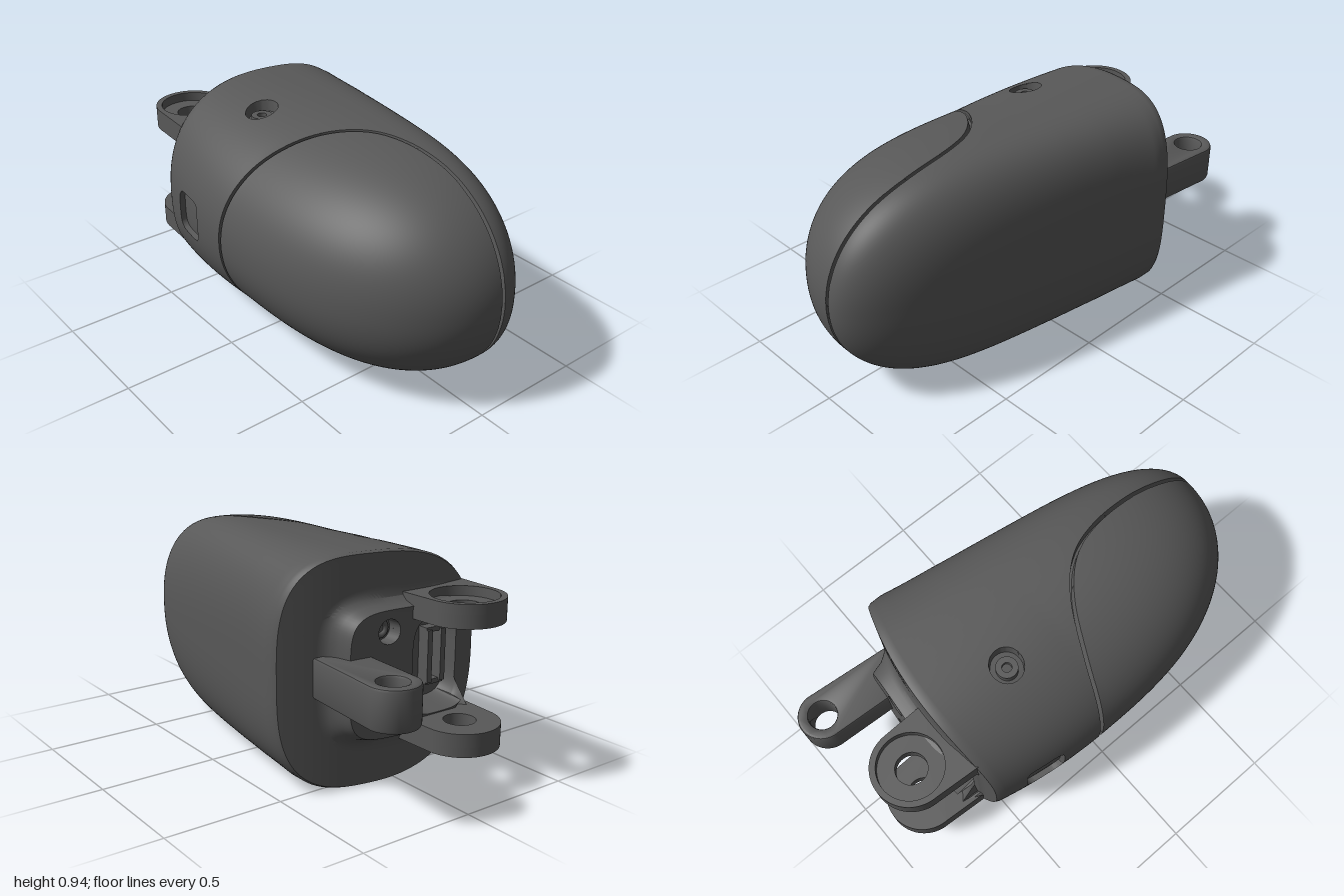
import * as THREE from 'three';
import { toCreasedNormals } from 'three/addons/utils/BufferGeometryUtils.js';

const MID = 0.47; // height of the horizontal symmetry plane
const COLS = 160;
const casing = new THREE.MeshStandardMaterial({ color: 0x585858 });
casing.name = 'dark grey casing';

// Smooth shading with sharp edges (scaled up so close vertices stay distinct)
function crease(geo, angle = 0.6) {
  geo.scale(20, 20, 20);
  const out = toCreasedNormals(geo, angle);
  return out.scale(0.05, 0.05, 0.05);
}

function mesh(name, geo) {
  const m = new THREE.Mesh(geo, casing);
  m.name = name;
  return m;
}

// Closed ring of points: superellipse with separate left and right halves
function ring(cx, left, right, h, nL, nR, zOf) {
  return Array.from({ length: COLS }, (_, j) => {
    const t = (j / COLS) * Math.PI * 2, c = Math.cos(t), s = Math.sin(t);
    const a = c < 0 ? left : right, n = c < 0 ? nL : nR;
    const r = Math.pow(Math.pow(Math.abs(c) / a, n) + Math.pow(Math.abs(s) / h, n), -1 / n);
    const x = cx + r * c, y = MID + r * s;
    return new THREE.Vector3(x, y, zOf(x, y));
  });
}

const backZ = (x) => -0.595 + 0.35 * (x + 0.1) ** 2; // curved rear face
const mountZ = (x, y) =>
  x < -0.28 && Math.abs(y - MID) < 0.2 ? backZ(x) - 0.005 : -0.66 + 0.09 * Math.max(x, 0);

// Body cross-section at station s, from the nose (1) to the rear (-0.585)
function bodyRing(s, scale = 1) {
  const t = Math.max(s, 0), back = Math.max(0, -s) / 0.585;
  const g = (a) => Math.max(1e-3, Math.sqrt(1 - Math.pow(t, a)));
  const L = 0.07 - (0.573 - 0.2 * Math.min(s, 0) ** 2) * g(2.7);
  const R = 0.07 + (0.36 - 0.14 * Math.max(s, -0.5)) * g(5);
  const cx = 0.07 + 0.06 * g(4) * (1 - t);
  const nL = 2.15 + 0.3 * back, nR = 2.2 + 0.95 * Math.min(1, (1 - s) / 1.2);
  const zOf = scale < 1 ? backZ : (x) => s + (backZ(x) + 0.6) * back * back;
  return ring(cx, (cx - L) * scale, (R - cx) * scale, MID * g(3.8) * scale, nL, nR, zOf);
}

// Parting line between the front shell and the main shell, in x and z
const seam = new THREE.SplineCurve(
  [[-0.9, -0.19], [-0.5, -0.045], [-0.3, 0.025], [-0.1, 0.125], [0.03, 0.25], [0.085, 0.4],
    [0.098, 0.6], [0.083, 0.8], [0.062, 1], [0.045, 1.2]].map((p) => new THREE.Vector2(...p))
).getPoints(50);

function seamDist(p) {
  let best = 9, sign = 1;
  for (let i = 0; i < seam.length - 1; i++) {
    const a = seam[i], dx = seam[i + 1].x - a.x, dz = seam[i + 1].y - a.y;
    const px = p.x - a.x, pz = p.z - a.y;
    const k = Math.min(1, Math.max(0, (px * dx + pz * dz) / (dx * dx + dz * dz)));
    const d = Math.hypot(px - k * dx, pz - k * dz);
    if (d < best) { best = d; sign = dx * pz - dz * px < 0 ? -1 : 1; }
  }
  return best * sign;
}

// Pockets: signed distance to the outline, and the inward push
const HOLE = [-0.135, -0.245], BOLTS = [0.64, 0.3];
const pockets = [
  { d: (p) => Math.hypot(p.x - HOLE[0], p.z - HOLE[1]) - 0.07,
    push: (p) => { p.y -= Math.sign(p.y - MID) * 0.05; } },
  { d: (p) => {
      if (p.x > 0) return 1;
      const qy = Math.abs(p.y - MID) - 0.055, qz = Math.abs(p.z + 0.33) - 0.05;
      return Math.hypot(Math.max(qy, 0), Math.max(qz, 0)) + Math.min(Math.max(qy, qz), 0) - 0.04;
    },
    push: (p) => { p.x += 0.025; } },
  ...BOLTS.map((y) => ({
    d: (p) => (p.z > 0 ? 1 : Math.hypot(p.x - 0.1, p.y - y) - 0.05),
    push: (p) => { p.z += 0.06; },
  })),
];
const GAP = 0.008, WALL = 0.003;

// Split triangles along the line where dist equals level
function cut(tris, dist, level) {
  const out = [];
  for (const t of tris) {
    const v = t.map((p) => dist(p) - level), up = v.map((n) => n > 0);
    const count = up.filter(Boolean).length;
    if (count === 0 || count === 3) { out.push(t); continue; }
    const i = up.indexOf(count === 1), j = (i + 1) % 3, k = (i + 2) % 3;
    const p = t[i].clone().lerp(t[j], v[i] / (v[i] - v[j]));
    const q = t[i].clone().lerp(t[k], v[i] / (v[i] - v[k]));
    out.push([t[i], p, q], [p, t[j], t[k]], [p, t[k], q]);
  }
  return out;
}

function sink(v) {
  const p = v.clone();
  for (const k of pockets) if (k.d(v) < -WALL / 2) { k.push(p); return p; }
  if (Math.abs(seamDist(v)) < GAP - WALL / 2) {
    p.add(new THREE.Vector3(0.07, MID, Math.min(v.z, 0.6)).sub(v).setLength(0.035));
  }
  return p;
}

function bodyGeometry() {
  const rings = [];
  for (let i = 0; i <= 100; i++) rings.push(bodyRing(1 - 1.585 * Math.pow(i / 100, 1.7)));
  rings.push(bodyRing(-0.585, 0.985));
  const lerpTo = (next, n, onBack = false) => {
    const from = rings[rings.length - 1];
    for (let i = 1; i <= n; i++) {
      rings.push(from.map((p, j) => {
        const q = p.clone().lerp(next[j], i / n);
        if (onBack) q.z = backZ(q.x);
        return q;
      }));
    }
  };
  // raised rear mount with a soft foot, then the socket sunk into it
  lerpTo(ring(-0.03, 0.335, 0.36, 0.315, 4, 4, backZ), 8, true);
  for (const [w, k] of [[0.022, 0.12], [0.01, 0.4], [0.004, 0.8], [0, 1]]) {
    const zOf = (x, y) => THREE.MathUtils.lerp(backZ(x), mountZ(x, y), k);
    lerpTo(ring(-0.03, 0.305 + w, 0.305 + w * 1.5, 0.255 + w * 1.5, 5, 5, zOf), 1);
  }
  lerpTo(ring(-0.16, 0.15, 0.15, 0.2, 4, 4, mountZ), 16);
  lerpTo(ring(-0.16, 0.145, 0.12, 0.18, 4, 4, () => -0.52), 1);
  lerpTo(ring(-0.16, 0.001, 0.001, 0.001, 2, 2, () => -0.52), 1);

  let tris = [];
  for (let i = 0; i < rings.length - 1; i++) {
    for (let j = 0; j < COLS; j++) {
      const k = (j + 1) % COLS, A = rings[i], B = rings[i + 1];
      tris.push([A[j], B[j], B[k]], [A[j], B[k], A[k]]);
    }
  }
  for (const l of [-GAP, WALL - GAP, GAP - WALL, GAP]) tris = cut(tris, seamDist, l);
  for (const k of pockets) for (const l of [0, -WALL]) tris = cut(tris, k.d, l);
  const pts = tris.flat().map(sink);
  return crease(new THREE.BufferGeometry().setFromPoints(pts), 0.5);
}

// Hinge lug: round-ended plate with an eye; base points lie on the body side
function lug(name, cx, cz, r, hole, baseL, baseR, y0, y1, bevel) {
  const s = new THREE.Shape();
  s.moveTo(...baseL);
  s.lineTo(...baseR);
  s.absarc(cx, cz, r, 0, Math.PI, false);
  s.closePath();
  s.holes.push(new THREE.Path().absarc(cx, cz, hole, 0, Math.PI * 2, true));
  const geo = new THREE.ExtrudeGeometry(s, {
    depth: y1 - y0 - 2 * bevel, curveSegments: 32, bevelEnabled: bevel > 0,
    bevelSize: bevel, bevelThickness: bevel, bevelOffset: -bevel, bevelSegments: 2,
  });
  geo.rotateX(-Math.PI / 2).translate(0, y0 + bevel, 0);
  return mesh(name, crease(geo));
}

function box(name, w, h, d, x, y, z) {
  return mesh(name, new THREE.BoxGeometry(w, h, d).translate(x, y, z));
}

export function createModel() {
  const model = new THREE.Group();
  model.name = 'hinged housing';
  model.add(mesh('body', bodyGeometry()));

  // Single lug on the left
  model.add(lug('singleLug', 0.292, 0.895, 0.105, 0.06, [0.165, 0.52], [0.362, 0.52], 0.39, 0.555, 0.012));

  // Pair of lugs with counterbores on their outer faces, and recessed screws
  for (const side of [1, -1]) {
    const span = (a, b) => (side > 0 ? [MID + a, MID + b] : [MID - b, MID - a]);
    const at = [-0.17, 0.765, 0.16], base = [[-0.345, 0.55], [-0.005, 0.55]];
    const pair = new THREE.Group();
    pair.name = side > 0 ? 'upperLug' : 'lowerLug';
    pair.add(lug('lugPlate', ...at, 0.065, ...base, ...span(0.205, 0.26), 0));
    pair.add(lug('lugRim', ...at, 0.135, ...base, ...span(0.26, 0.3), 0));
    model.add(pair);

    const profile = [[0.045, -0.03], [0.045, 0.012], [0.02, 0.012], [0.02, -0.03]];
    const screw = mesh('recessedScrew', crease(new THREE.LatheGeometry(
      profile.map((p) => new THREE.Vector2(...p)), 32)));
    screw.position.set(HOLE[0], MID + side * 0.4, HOLE[1]);
    if (side < 0) screw.rotation.x = Math.PI;
    model.add(screw);
  }

  // Bolts in the rear mount
  for (const y of BOLTS) {
    const bolt = mesh('mountBolt', new THREE.TorusGeometry(0.028, 0.012, 8, 24));
    bolt.position.set(0.1, y, -0.59);
    model.add(bolt);
  }

  // Connector in the rear socket
  const connector = new THREE.Group();
  connector.name = 'connector';
  for (const x of [-0.25, -0.18]) connector.add(box('contactRail', 0.025, 0.22, 0.06, x, MID, -0.545));
  for (const y of [0.36, 0.58]) connector.add(box('contactEnd', 0.095, 0.02, 0.05, -0.215, y, -0.54));
  model.add(connector);
  return model;
}
